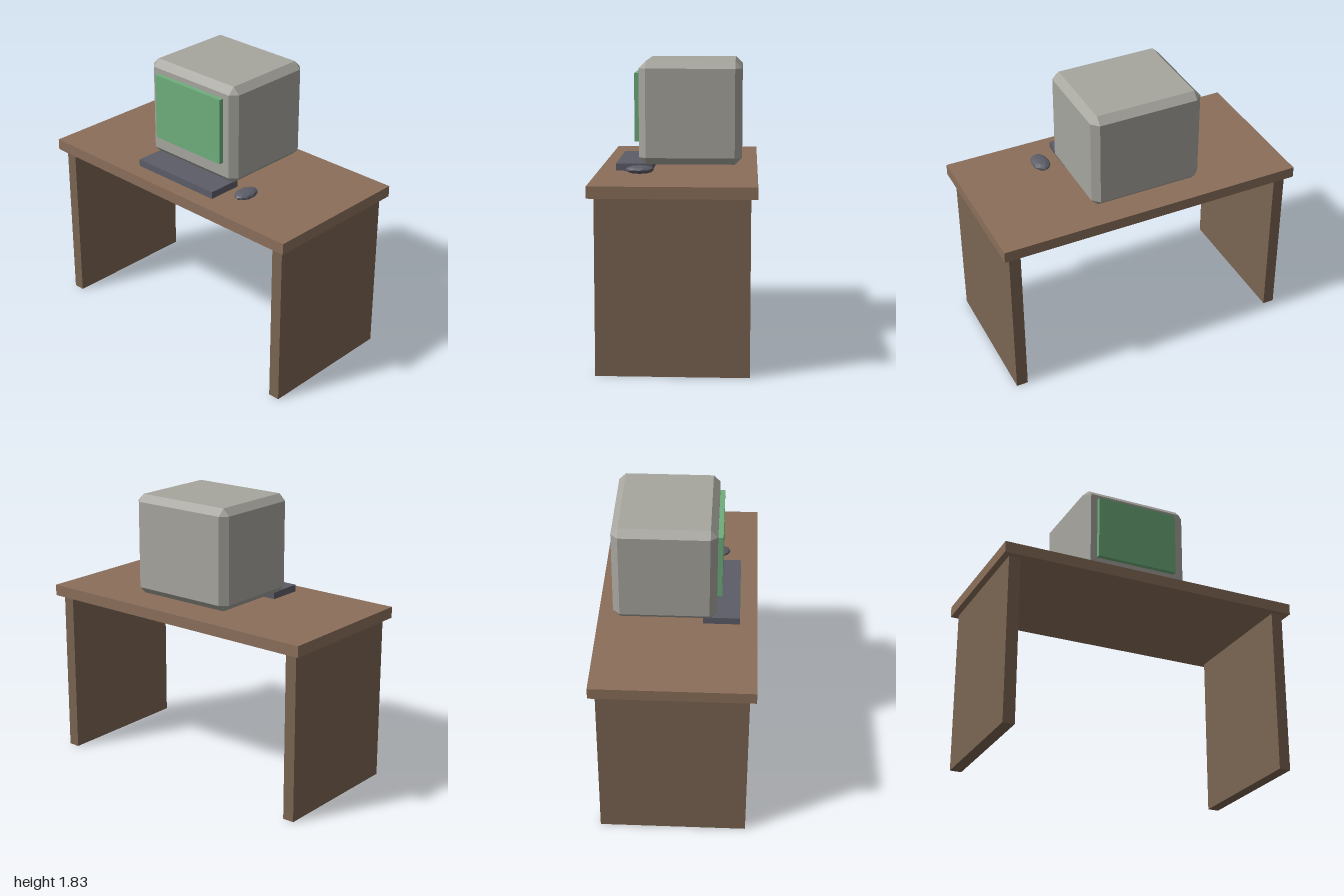
import * as THREE from 'three';
import { ConvexGeometry } from 'three/addons/geometries/ConvexGeometry.js';

const paint = (color) => new THREE.MeshStandardMaterial({ color, flatShading: true });

// Box given by its min and max corners
function box(name, min, max, material) {
  const size = max.map((v, i) => v - min[i]);
  const mesh = new THREE.Mesh(new THREE.BoxGeometry(...size), material);
  mesh.position.set(...max.map((v, i) => (v + min[i]) / 2));
  mesh.name = name;
  return mesh;
}

// Box with every edge cut at 45 degrees and triangular corners
function chamferedBox(w, h, d, c) {
  const points = [];
  for (const sx of [-1, 1]) for (const sy of [-1, 1]) for (const sz of [-1, 1]) {
    for (let full = 0; full < 3; full++) {
      const half = [w, h, d].map((s, i) => s / 2 - (i === full ? 0 : c));
      points.push(new THREE.Vector3(sx * half[0], sy * half[1], sz * half[2]));
    }
  }
  return new ConvexGeometry(points);
}

export function createModel() {
  const group = new THREE.Group();
  const wood = paint(0x8b6f5a);
  const legWood = paint(0x7a6452);
  const casing = paint(0xa6a59e);
  const glass = paint(0x6fae7c);
  const plastic = paint(0x5c5d68);

  // Desk
  group.add(box('deskTop', [-1, 1.075, -0.5], [1, 1.147, 0.5], wood));
  for (const side of [-1, 1]) {
    const leg = box(side > 0 ? 'leftLegPanel' : 'rightLegPanel',
      [-0.0375, 0, -0.46], [0.0375, 1.075, 0.46], legWood);
    leg.position.x = side * 0.922;
    group.add(leg);
  }

  // Monitor
  const monitor = new THREE.Mesh(chamferedBox(0.735, 0.645, 0.645, 0.044), casing);
  monitor.position.set(-0.002, 1.512, -0.078);
  monitor.name = 'monitorCasing';
  group.add(monitor);
  group.add(box('screen', [-0.28, 1.327, 0.2], [0.276, 1.757, 0.276], glass));

  // Keyboard
  group.add(box('keyboard', [-0.325, 1.147, 0.16], [0.322, 1.193, 0.39], plastic));

  // Mouse
  const mouse = new THREE.Mesh(new THREE.IcosahedronGeometry(1, 1), plastic);
  mouse.scale.set(0.059, 0.027, 0.09);
  mouse.position.set(0.457, 1.174, 0.229);
  mouse.name = 'mouse';
  group.add(mouse);

  return group;
}
